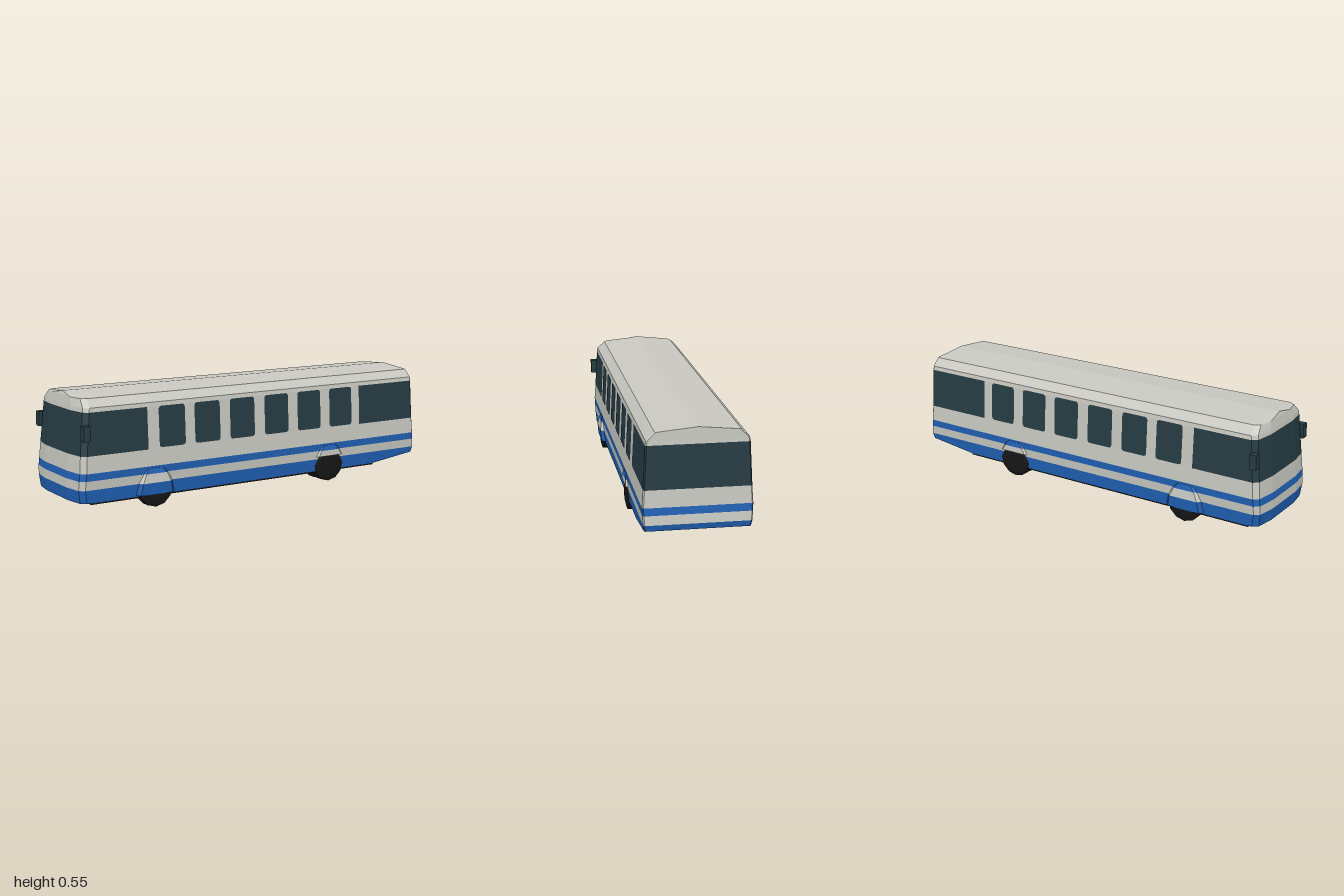
import * as THREE from 'three';

const mat = (name, color) => {
  const m = new THREE.MeshStandardMaterial({ color });
  m.name = name;
  return m;
};

// Flat-faced mesh from a list of quads, each four [x, y, z] corners
function quadMesh(name, quads, material) {
  const pos = [];
  for (const [a, b, c, d] of quads) pos.push(...a, ...b, ...c, ...a, ...c, ...d);
  const g = new THREE.BufferGeometry();
  g.setAttribute('position', new THREE.Float32BufferAttribute(pos, 3));
  g.computeVertexNormals();
  const m = new THREE.Mesh(g, material);
  m.name = name;
  return m;
}

// Plan outline of the body at one height, counter-clockwise from above
function bodyRing([y, w, x0, x1]) {
  const k = Math.min(1, w / 0.19);
  const side = [
    [x0, w * 0.5], [x0 + 0.015, w - 0.02 * k], [x0 + 0.04, w], [-0.63, w],
    [0.62, w], [0.72, w], [x1 - 0.006, w], [x1, w - 0.006 * k],
  ];
  const outline = [...side, ...side.map(([x, z]) => [x, -z]).reverse()];
  // the lower edge rises behind the rear axle
  return outline.map(([x, z]) => [x, y < 0.07 ? y + Math.max(0, (x - 0.72) / 0.28) * 0.035 : y, z]);
}

export function createModel() {
  const cream = mat('creamPaint', 0xc8c8c1);
  const blue = mat('bluePaint', 0x2060b4);
  const glass = mat('darkGlass', 0x263c43);
  const black = mat('blackRubber', 0x161616);
  const bus = new THREE.Group();
  bus.name = 'bus';

  // Body levels: height, half width, front x, rear x
  const levels = [
    [0.06, 0.238, -0.992, 0.985],
    [0.122, 0.243, -1.0, 0.993],
    [0.165, 0.246, -0.998, 0.988],
    [0.2, 0.247, -0.994, 0.985],
    [0.28, 0.242, -0.987, 0.981],
    [0.48, 0.232, -0.968, 0.975],
    [0.5, 0.229, -0.965, 0.974],
    [0.538, 0.19, -0.957, 0.973],
    [0.555, 0, -0.95, 0.972],
  ].map(bodyRing);
  const bands = [
    ['lowerSkirt', blue], ['lowerPanel', cream], ['stripe', blue], ['waistPanel', cream],
    ['windowBand', glass], ['cantRail', cream], ['roofEdge', cream], ['roof', cream],
  ];
  bands.forEach(([name, material], j) => {
    const lo = levels[j], hi = levels[j + 1], main = [], pillars = [];
    lo.forEach((p, i) => {
      const n = (i + 1) % lo.length;
      // the middle of each side stays painted in the window band
      const painted = name === 'windowBand' && (i === 3 || i === 11);
      (painted ? pillars : main).push([p, lo[n], hi[n], hi[i]]);
    });
    bus.add(quadMesh(name, main, material));
    if (pillars.length) bus.add(quadMesh('windowPillars', pillars, cream));
  });

  // Underside
  const base = levels[0], under = [];
  for (let i = 0; i < 7; i++) under.push([base[i], base[15 - i], base[14 - i], base[i + 1]]);
  bus.add(quadMesh('underside', under, blue));
  const floor = new THREE.Mesh(new THREE.BoxGeometry(1.65, 0.012, 0.47), black);
  floor.name = 'chassisFloor';
  floor.position.set(-0.105, 0.058, 0);
  bus.add(floor);

  // Side window pane with rounded corners
  const w = 0.071, h = 0.098, r = 0.015;
  const pane = new THREE.Shape();
  pane.absarc(w - r, h - r, r, 0, Math.PI / 2);
  pane.absarc(-w + r, h - r, r, Math.PI / 2, Math.PI);
  pane.absarc(-w + r, -h + r, r, Math.PI, Math.PI * 1.5);
  pane.absarc(w - r, -h + r, r, Math.PI * 1.5, Math.PI * 2);
  const paneGeo = new THREE.ShapeGeometry(pane, 3);

  // Tyre with a narrowed tread
  const tyreGeo = new THREE.LatheGeometry(
    [[0, -0.03], [0.06, -0.03], [0.09, -0.022], [0.09, 0.022], [0.06, 0.03], [0, 0.03]]
      .map(([x, y]) => new THREE.Vector2(x, y)), 12).toNonIndexed();
  tyreGeo.computeVertexNormals();

  // Wheel arch bulge: height, outer z, half length at each level
  function wheelArch(rows, colours) {
    const g = new THREE.Group();
    g.name = 'wheelArch';
    const rings = rows.map(([y, z, hx]) => [
      [-hx - 0.02, y, 0.235], [-hx, y, z], [hx, y, z], [hx + 0.02, y, 0.235],
    ]);
    colours.forEach((c, j) => {
      const a = rings[j], b = rings[j + 1];
      g.add(quadMesh('archBand', [0, 1, 2].map(i => [a[i], a[i + 1], b[i + 1], b[i]]), c));
    });
    const top = rings[rings.length - 1], low = rings[0];
    g.add(quadMesh('archTop', [top], colours[colours.length - 1]));
    g.add(quadMesh('archUnderside', [[...low].reverse()], colours[0]));
    return g;
  }

  for (const side of [1, -1]) {
    // Everything on one side is built facing +z and turned round for the other
    const place = (x, part) => {
      const holder = new THREE.Group();
      holder.name = part.name + 'Mount';
      holder.position.x = x;
      holder.rotation.y = side > 0 ? 0 : Math.PI;
      holder.add(part);
      bus.add(holder);
    };
    for (const x of [-0.5, -0.305, -0.105, 0.0975, 0.2975, 0.4975]) {
      const win = new THREE.Mesh(paneGeo, glass);
      win.name = 'sideWindow';
      win.position.set(0, 0.382, 0.239);
      win.rotation.x = -0.05;
      place(x, win);
    }
    // Single front wheels, twin rear wheels
    for (const [x, z] of [[-0.595, 0.222], [0.425, 0.218], [0.425, 0.157]]) {
      const tyre = new THREE.Mesh(tyreGeo, black);
      tyre.name = x < 0 ? 'frontWheel' : 'rearWheel';
      tyre.position.set(0, 0.0915, z);
      tyre.rotation.x = Math.PI / 2;
      place(x, tyre);
    }
    place(-0.595, wheelArch(
      [[0.065, 0.257, 0.085], [0.122, 0.262, 0.075], [0.165, 0.256, 0.055], [0.19, 0.249, 0.035]],
      [blue, cream, blue]));
    place(0.425, wheelArch(
      [[0.135, 0.255, 0.07], [0.165, 0.254, 0.055], [0.19, 0.249, 0.035]], [cream, blue]));
    // Door mirror
    const mirror = new THREE.Mesh(new THREE.BoxGeometry(0.035, 0.072, 0.036), glass);
    mirror.name = 'mirror';
    mirror.position.set(0, 0.388, 0.247);
    place(-0.955, mirror);
  }
  return bus;
}
